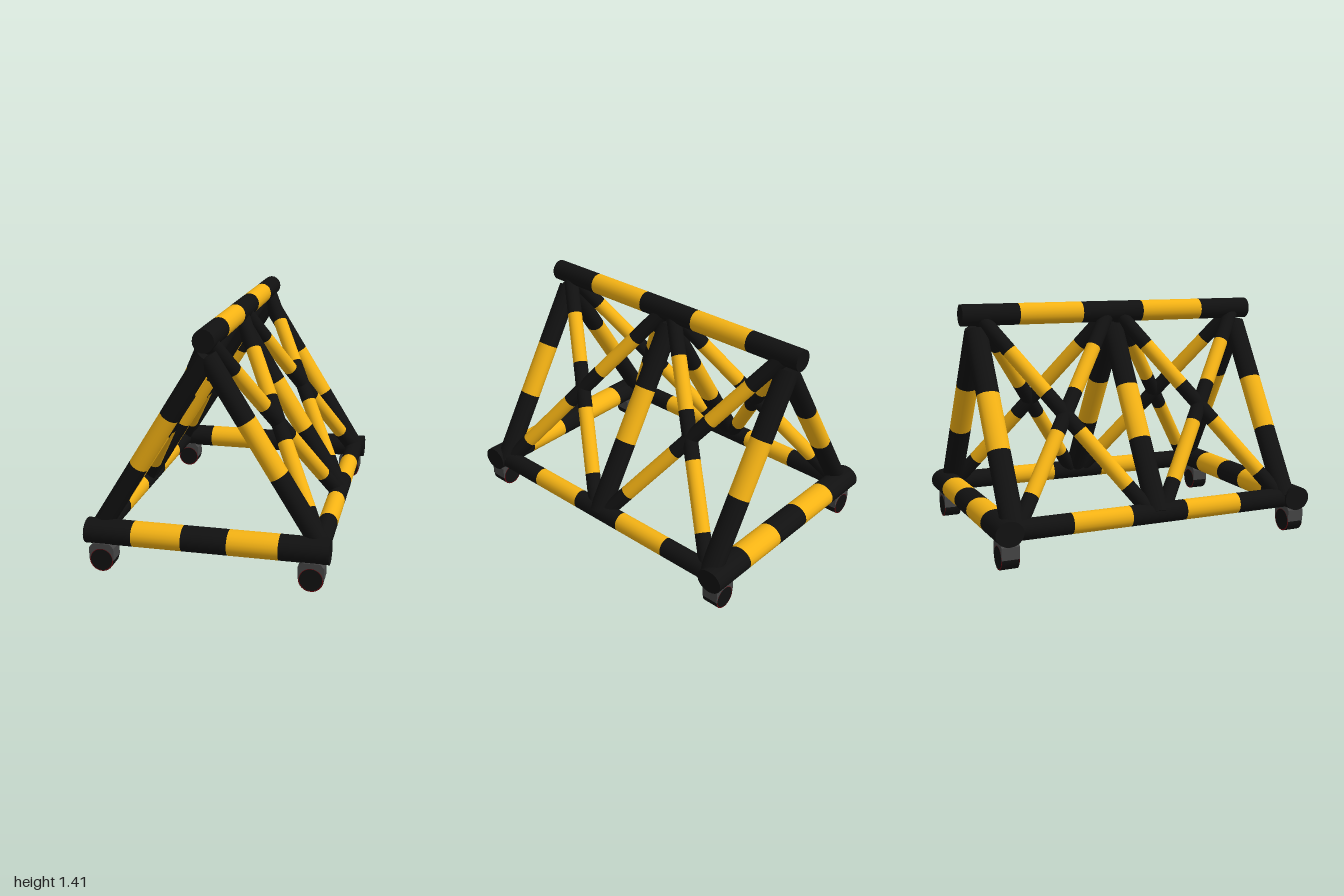
import * as THREE from 'three';

const paint = (color) => new THREE.MeshStandardMaterial({ color });
const black = paint(0x111111), yellow = paint(0xf5b314), grey = paint(0x444444), red = paint(0x6a0c12);

// Striped tube from a to b: oval section with radius ru toward 'hint' and rw across it.
// 'cuts' are the fractions where black and yellow alternate, starting with black.
function bar(name, a, b, hint, ru, rw, cuts) {
  const group = new THREE.Group();
  group.name = name;
  const start = new THREE.Vector3(...a), end = new THREE.Vector3(...b);
  const axis = end.clone().sub(start), length = axis.length();
  axis.normalize();
  const u = new THREE.Vector3(...hint);
  u.addScaledVector(axis, -u.dot(axis)).normalize();
  const w = u.clone().cross(axis);
  const stops = [0, ...cuts, 1];
  for (let i = 0; i < stops.length - 1; i++) {
    const span = stops[i + 1] - stops[i];
    const geometry = new THREE.CylinderGeometry(1, 1, 1, 20);
    const matrix = new THREE.Matrix4().makeBasis(
      u.clone().multiplyScalar(ru),
      axis.clone().multiplyScalar(length * span),
      w.clone().multiplyScalar(rw)
    );
    matrix.setPosition(start.clone().lerp(end, (stops[i] + stops[i + 1]) / 2));
    geometry.applyMatrix4(matrix);
    const mesh = new THREE.Mesh(geometry, i % 2 ? yellow : black);
    mesh.name = i % 2 ? 'yellowBand' : 'blackBand';
    group.add(mesh);
  }
  return group;
}

// Caster: black roller with a red rim, under an arched grey housing
function caster(x, z) {
  const group = new THREE.Group();
  group.name = 'caster';
  const add = (name, geometry, material) => {
    const mesh = new THREE.Mesh(geometry, material);
    mesh.name = name;
    group.add(mesh);
  };
  const drum = (radius, depth) => new THREE.CylinderGeometry(radius, radius, depth, 24).rotateX(Math.PI / 2);
  add('roller', drum(0.07, 0.1), black);
  add('rollerRim', drum(0.069, 0.103), red);
  add('rollerFace', drum(0.063, 0.106), black);

  const shape = new THREE.Shape();
  shape.moveTo(-0.072, 0);
  shape.lineTo(-0.072, 0.07);
  shape.lineTo(-0.05, 0.096);
  shape.lineTo(0.05, 0.096);
  shape.lineTo(0.072, 0.07);
  shape.lineTo(0.072, 0);
  shape.lineTo(0.066, 0);
  shape.absarc(0, 0, 0.066, 0, Math.PI, false);
  const housing = new THREE.ExtrudeGeometry(shape, { depth: 0.104, bevelEnabled: false, curveSegments: 16 });
  add('housing', housing.translate(0, 0, -0.052), grey);
  group.position.set(x, 0.07, z);
  return group;
}

export function createModel() {
  const model = new THREE.Group();
  model.name = 'trussFrame';
  const Z = [0, 0, 1], X = [1, 0, 0];

  // Ridge bar along the top
  model.add(bar('ridgeBar', [0, 1.345, 0.94], [0, 1.345, -0.97], X, 0.06, 0.064, [0.183, 0.398, 0.607, 0.817]));

  // Cross bars at the two ends
  for (const z of [0.918, -0.918])
    model.add(bar(z > 0 ? 'frontBar' : 'backBar', [-0.692, 0.22, z], [0.692, 0.22, z], Z, 0.082, 0.072,
      [0.2, 0.406, 0.594, 0.8]));

  for (const s of [1, -1]) {
    const side = s > 0 ? 'left' : 'right';
    // Lower side rail
    model.add(bar(side + 'Rail', [s * 0.625, 0.22, 0.93], [s * 0.625, 0.22, -0.93], X, 0.056, 0.06,
      [0.218, 0.409, 0.597, 0.79]));

    // Sloping legs
    for (const z of [0.863, -0.007, -0.878])
      model.add(bar(side + 'Leg', [s * 0.637, 0.22, z], [0, 1.25, z], Z, 0.067, 0.056, [0.38, 0.665]));

    // Crossed braces in each bay
    for (const [z0, z1] of [[0.845, 0.03], [0.03, 0.845], [-0.04, -0.855], [-0.855, -0.04]])
      model.add(bar(side + 'Brace', [s * 0.625, 0.22, z0], [0, 1.335, z1], Z, 0.045, 0.045,
        [0.14, 0.415, 0.61, 0.825]));

    // Casters under the corners
    for (const z of [0.927, -0.907]) model.add(caster(s * 0.595, z));
  }
  return model;
}
